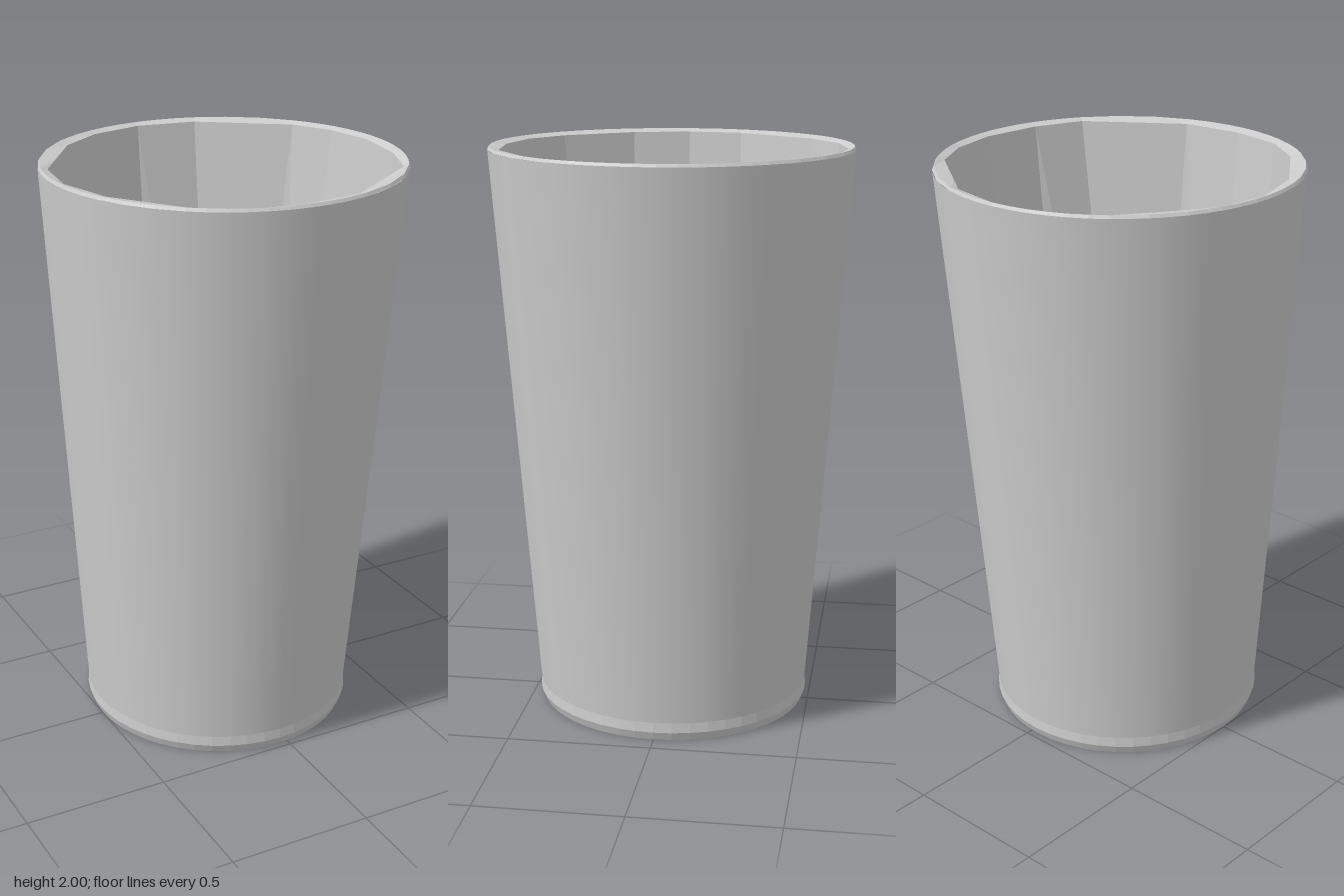
import * as THREE from 'three';

// Inner wall corners as [x, z], ordered around the cup
const floorPts = [[-0.03, -0.445], [0.17, -0.385], [0.22, -0.345], [0.34, -0.215], [0.395, -0.04], [0.37, 0.17],
  [0.25, 0.34], [0.18, 0.39], [-0.03, 0.455], [-0.22, 0.41], [-0.36, 0.3], [-0.42, 0.22], [-0.47, 0.02],
  [-0.44, -0.175], [-0.37, -0.28], [-0.22, -0.395]];
const rimPts = [[-0.03, -0.6], [0.18, -0.565], [0.47, -0.355], [0.55, -0.215], [0.585, -0.04], [0.56, 0.17],
  [0.49, 0.34], [0.18, 0.56], [-0.03, 0.585], [-0.22, 0.55], [-0.365, 0.45], [-0.53, 0.22], [-0.585, 0.02],
  [-0.56, -0.175], [-0.37, -0.45], [-0.22, -0.555]];

// Ring helpers: each returns an array of Vector3
const polyRing = (pts, y) => pts.map(([x, z]) => new THREE.Vector3(x, y, z));

function ellipseRing(cx, rx, rz, y, n = 48, cz = 0) {
  return Array.from({ length: n }, (_, i) => {
    const a = (i / n) * Math.PI * 2;
    return new THREE.Vector3(cx + rx * Math.cos(a), y, cz + rz * Math.sin(a));
  });
}

function subdivide(ring, k) {
  return ring.flatMap((p, i) => Array.from({ length: k }, (_, j) =>
    p.clone().lerp(ring[(i + 1) % ring.length], j / k)));
}

// Skin between successive rings of equal length
function loft(rings, flat) {
  const n = rings[0].length;
  const index = [];
  for (let r = 0; r < rings.length - 1; r++) {
    for (let i = 0; i < n; i++) {
      const j = (i + 1) % n;
      const a = r * n + i, b = a + n, c = (r + 1) * n + j, d = r * n + j;
      index.push(a, b, c, a, c, d);
    }
  }
  let geo = new THREE.BufferGeometry().setFromPoints(rings.flat());
  geo.setIndex(index);
  if (flat) geo = geo.toNonIndexed();
  geo.computeVertexNormals();
  return geo;
}

export function createModel() {
  const cup = new THREE.Group();
  cup.name = 'cup';
  const grey = new THREE.MeshStandardMaterial({ color: 0xcccccc });
  grey.name = 'light grey';

  const add = (name, rings, flat) => {
    const mesh = new THREE.Mesh(loft(rings, flat), grey);
    mesh.name = name;
    cup.add(mesh);
  };

  // Tapered outer wall, leaning slightly towards -x at the foot
  const foot = ellipseRing(-0.034, 0.472, 0.485, 0.065);
  const lip = ellipseRing(0, 0.616, 0.626, 1.99);
  add('outerWall', [foot, lip], false);

  // Chamfered foot band with a flat underside
  const base = ellipseRing(-0.034, 0.464, 0.476, 0);
  const bulge = ellipseRing(-0.034, 0.475, 0.488, 0.03);
  add('footBand', [base, bulge, foot], true);
  add('underside', [base.map(() => new THREE.Vector3(-0.034, 0, 0)), base], true);

  // Rim bridging the round lip and the faceted inside
  const rimInner = subdivide(polyRing(rimPts, 1.99), 3);
  const rimAt = (rx, rz, y) => rimInner.map((p) => {
    const a = Math.atan2(p.z, p.x);
    return new THREE.Vector3(rx * Math.cos(a), y, rz * Math.sin(a));
  });
  add('rim', [rimAt(0.616, 0.626, 1.99), rimAt(0.61, 0.62, 2), rimInner], true);

  // Faceted inner wall and floor
  const innerBottom = polyRing(floorPts, 0.06);
  add('innerWall', [polyRing(rimPts, 1.99), innerBottom], true);
  add('innerFloor', [innerBottom, innerBottom.map(() => new THREE.Vector3(-0.03, 0.06, 0))], true);

  return cup;
}
